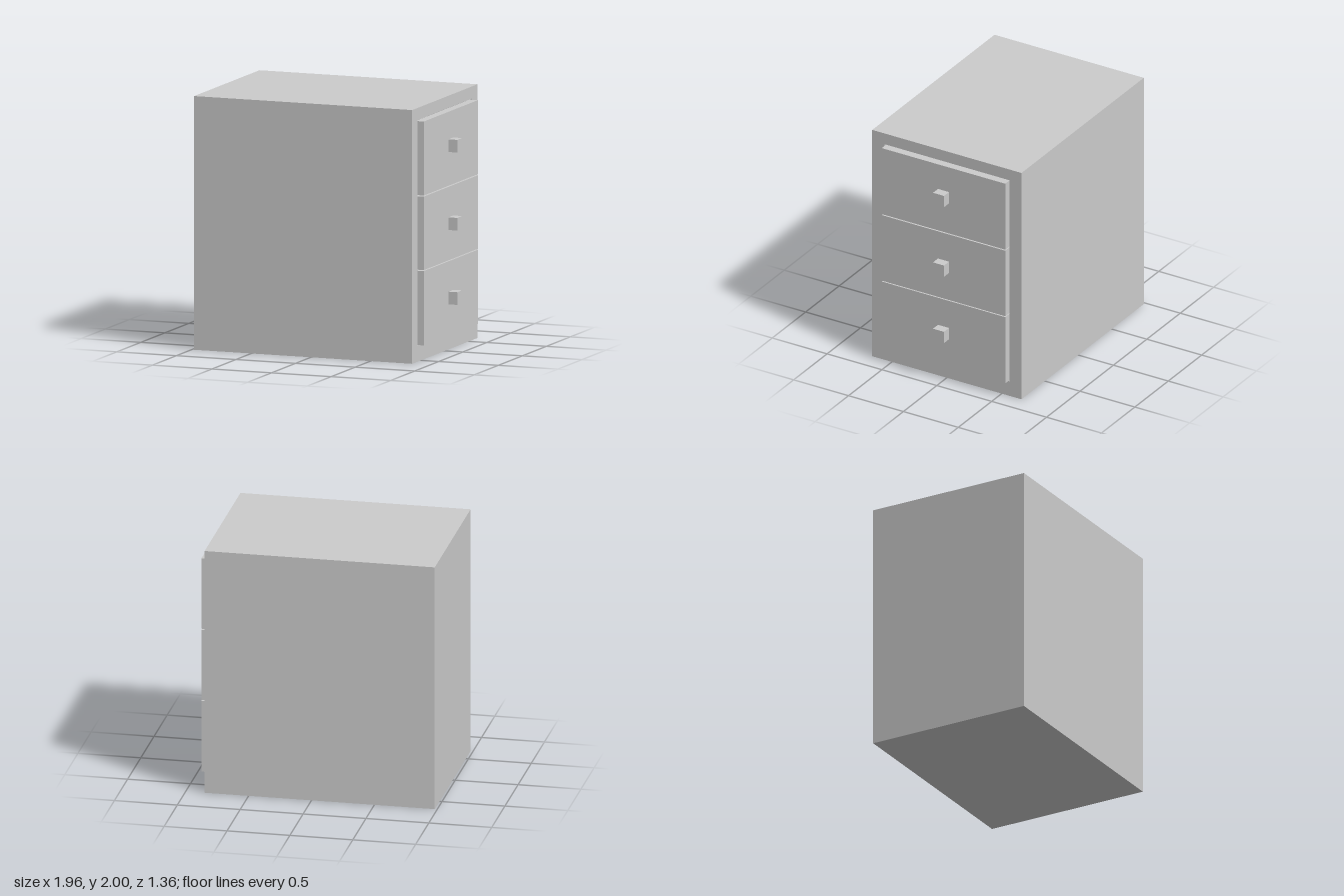
import * as THREE from 'three';

const material = new THREE.MeshStandardMaterial({ color: 0xcccccc, flatShading: true });

// Box given by its minimum and maximum corners
function box(name, min, max) {
  const size = max.map((v, i) => v - min[i]);
  const mesh = new THREE.Mesh(new THREE.BoxGeometry(...size), material);
  mesh.name = name;
  mesh.position.set(...max.map((v, i) => (v + min[i]) / 2));
  return mesh;
}

// Closed rectangular outline
function rectangle(PathType, x0, y0, x1, y1) {
  return new PathType([[x0, y0], [x1, y0], [x1, y1], [x0, y1]].map((p) => new THREE.Vector2(...p)));
}

// Drawer facing +x: front panel, open tray behind it and a square knob
function createDrawer(name, bottom, top, knobY) {
  const drawer = new THREE.Group();
  drawer.name = name;
  const w = 0.563, t = 0.04, back = -0.88, face = 0.83;
  drawer.add(
    box('drawerFront', [face, bottom, -w], [0.9, top, w]),
    box('drawerBottom', [back, bottom, -w], [face, bottom + t, w]),
    box('drawerBack', [back, bottom + t, -w], [back + t, top, w]),
    box('drawerLeftSide', [back + t, bottom + t, -w], [face, top, -w + t]),
    box('drawerRightSide', [back + t, bottom + t, w - t], [face, top, w]),
    box('knob', [0.9, knobY - 0.05, -0.05], [0.975, knobY + 0.05, 0.05]),
  );
  return drawer;
}

export function createModel() {
  const model = new THREE.Group();
  model.name = 'drawerCabinet';

  // Carcass: a rectangular sleeve with one opening, closed by a back panel
  const outline = rectangle(THREE.Shape, -0.68, 0, 0.68, 2);
  outline.holes.push(rectangle(THREE.Path, -0.566, 0.128, 0.569, 1.905));
  const sleeve = new THREE.ExtrudeGeometry(outline, { depth: 1.83, bevelEnabled: false });
  sleeve.rotateY(Math.PI / 2).translate(-0.98, 0, 0);
  const carcass = new THREE.Mesh(sleeve, material);
  carcass.name = 'carcass';
  model.add(carcass, box('backPanel', [-0.98, 0.128, -0.569], [-0.9, 1.905, 0.566]));

  // Three drawers stacked in the opening
  model.add(
    createDrawer('bottomDrawer', 0.13, 0.716, 0.427),
    createDrawer('middleDrawer', 0.724, 1.303, 1.013),
    createDrawer('topDrawer', 1.312, 1.895, 1.628),
  );
  return model;
}
